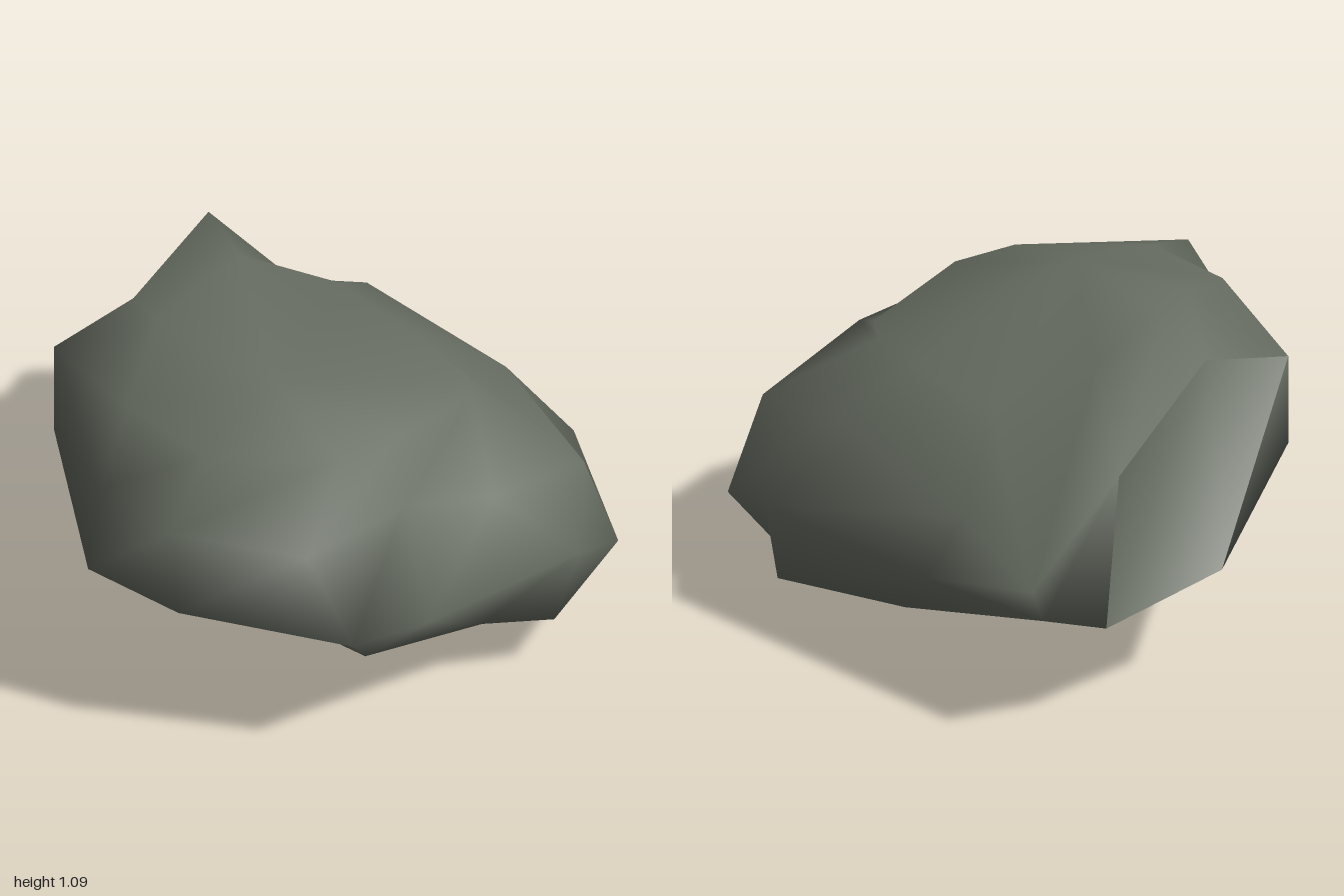
import * as THREE from 'three';

// Cross-section loops around the boulder, from the back left corner
// past the front and right sides to the back.
const base = [
  [-0.7, 0.36, -0.6], [-0.6, 0.27, -0.38], [-0.5, 0.28, -0.05], [-0.18, 0.29, 0.18],
  [0.12, 0.26, 0.33], [0.4, 0.3, 0.45], [0.89, 0.31, 0.36], [0.84, 0.22, -0.16],
  [0.92, 0.19, -0.4], [0.54, 0, -0.61], [0.31, 0.15, -0.88], [-0.13, 0.16, -0.66],
];
const girth = [
  [-1, 0.46, -0.68], [-0.97, 0.35, -0.41], [-0.94, 0.43, 0.07], [-0.52, 0.59, 0.61],
  [0.08, 0.45, 0.91], [0.56, 0.51, 0.89], [1, 0.45, 0.49], [0.87, 0.33, 0.08],
  [0.97, 0.45, -0.47], [0.75, 0.27, -0.79], [0.31, 0.43, -0.93], [-0.45, 0.43, -0.79],
];
const shoulder = [
  [-0.9, 0.52, -0.66], [-0.94, 0.88, -0.34], [-0.52, 0.98, 0.28], [-0.52, 0.91, 0.61],
  [0.02, 0.7, 0.82], [0.56, 0.83, 0.92], [0.86, 0.76, 0.58], [0.82, 0.78, 0.15],
  [0.85, 0.71, -0.2], [0.72, 0.61, -0.67], [0.23, 0.72, -0.71], [-0.54, 0.67, -0.7],
];
const crown = [
  [-0.3, 0.89, -0.42], [-0.45, 1.04, -0.11], [-0.3, 1.07, 0.25], [-0.22, 1.09, 0.4],
  [0, 0.97, 0.69], [0.38, 0.95, 0.66], [0.65, 0.94, 0.29], [0.65, 0.94, 0.05],
  [0.52, 0.88, -0.36], [0.4, 0.88, -0.42], [0.15, 0.89, -0.42], [-0.08, 0.89, -0.42],
];
const top = [0.27, 1.04, 0.28];
const bottom = [0.16, 0.06, -0.24];
const N = girth.length;

// Gathers triangles, sharing corners so that each surface is smooth
function surface() {
  const positions = [], index = [], known = new Map();
  const id = (p) => {
    if (!known.has(p)) {
      known.set(p, known.size);
      positions.push(...p);
    }
    return known.get(p);
  };
  const tri = (a, b, c) => index.push(id(a), id(b), id(c));
  return {
    tri,
    band(low, high, from, to) {
      for (let i = from; i < to; i++) {
        const a = i % N, b = (i + 1) % N;
        tri(low[a], low[b], high[b]);
        tri(low[a], high[b], high[a]);
      }
    },
    mesh(name, material) {
      const g = new THREE.BufferGeometry();
      g.setAttribute('position', new THREE.Float32BufferAttribute(positions, 3));
      g.setIndex(index);
      g.computeVertexNormals();
      const m = new THREE.Mesh(g, material);
      m.name = name;
      return m;
    },
  };
}

export function createModel() {
  const group = new THREE.Group();
  group.name = 'boulder';
  const stone = new THREE.MeshStandardMaterial({ color: 0x686e63 });
  stone.name = 'grey green stone';

  // Rounded sides, crown and sloping underside
  const body = surface();
  body.band(base, girth, 0, N);
  body.band(girth, shoulder, 3, N + 1);
  body.tri(girth[2], girth[3], shoulder[3]);
  body.band(shoulder, crown, 0, N);
  for (let i = 0; i < N; i++) {
    const next = (i + 1) % N;
    body.tri(crown[i], crown[next], top);
    body.tri(base[next], base[i], bottom);
  }

  // Split face on the left of the front, with a sharp rim
  const split = surface();
  split.band(girth, shoulder, 1, 2);
  split.tri(girth[2], shoulder[3], shoulder[2]);

  group.add(body.mesh('roundedBody', stone), split.mesh('splitFace', stone));
  return group;
}
